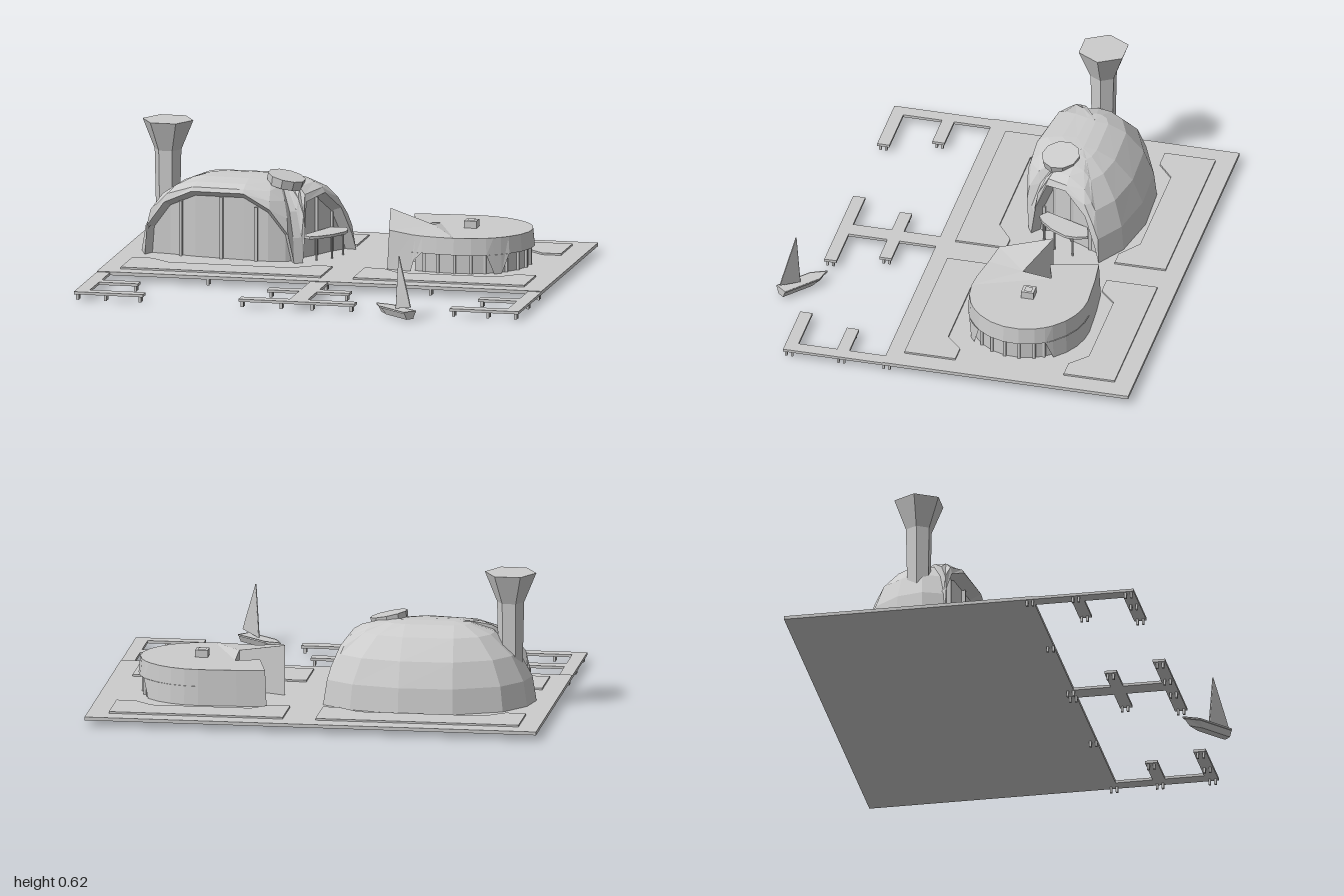
import * as THREE from 'three';

const mat = new THREE.MeshStandardMaterial({ color: 0xcccccc, flatShading: true });
const thin = new THREE.MeshStandardMaterial({ color: 0xcccccc, flatShading: true, side: THREE.DoubleSide });
const GROUND = 0.04;

function add(parent, name, geometry, material = mat) {
  const mesh = new THREE.Mesh(geometry, material);
  mesh.name = name;
  parent.add(mesh);
  return mesh;
}

function box(parent, name, x0, x1, y0, y1, z0, z1) {
  const mesh = add(parent, name, new THREE.BoxGeometry(x1 - x0, y1 - y0, z1 - z0));
  mesh.position.set((x0 + x1) / 2, (y0 + y1) / 2, (z0 + z1) / 2);
}

// Faceted surface through rows of [x, y, z] points
function loft(rows, closed = false) {
  const pos = [];
  for (let r = 0; r < rows.length - 1; r++) {
    const a = rows[r], b = rows[r + 1], n = a.length;
    for (let i = 0; i < (closed ? n : n - 1); i++) {
      const j = (i + 1) % n;
      pos.push(...a[i], ...a[j], ...b[j], ...a[i], ...b[j], ...b[i]);
    }
  }
  const g = new THREE.BufferGeometry();
  g.setAttribute('position', new THREE.Float32BufferAttribute(pos, 3));
  g.computeVertexNormals();
  return g;
}

const planShape = pts => new THREE.Shape(pts.map(([x, z]) => new THREE.Vector2(x, -z)));

// Horizontal slab from an [x, z] outline, with optional hole outlines
function slab(pts, y0, y1, holes = []) {
  const shape = planShape(pts);
  shape.holes.push(...holes.map(planShape));
  return new THREE.ExtrudeGeometry(shape, { depth: y1 - y0, bevelEnabled: false })
    .rotateX(-Math.PI / 2).translate(0, y0, 0);
}

function createSite() {
  const g = new THREE.Group();
  g.name = 'site';
  box(g, 'platform', -1, 1, 0.025, GROUND, -0.86, 0.25);
  // Lawns with a notched inner edge, mirrored about z = -0.30
  for (const [x0, a, b, c, d, x1] of [[-0.91, -0.82, -0.73, -0.18, -0.08, -0.01], [0.135, 0.22, 0.3, 0.74, 0.82, 0.905]]) {
    for (const s of [-1, 1]) {
      const z = v => -0.3 + s * v;
      const pts = [[x0, z(0.475)], [x1, z(0.475)], [x1, z(0.245)], [d, z(0.245)], [c, z(0.318)], [b, z(0.318)], [a, z(0.245)], [x0, z(0.245)]];
      add(g, 'lawn', slab(pts, GROUND, 0.048));
    }
  }
  // Docks with fingers, standing on short posts
  const dock = (x0, x1, z0, z1) => box(g, 'dock', x0, x1, 0.025, 0.037, z0, z1);
  dock(-0.04, 0.04, 0.25, 0.7);
  for (const s of [-1, 1]) {
    const d = (a, b, z0, z1) => dock(Math.min(s * a, s * b), Math.max(s * a, s * b), z0, z1);
    d(0.94, 1, 0.25, 0.7);
    d(0.765, 0.94, 0.415, 0.47);
    d(0.69, 0.94, 0.645, 0.7);
    d(0.04, 0.185, 0.415, 0.47);
    d(0.04, 0.26, 0.645, 0.7);
    const posts = [[0.985, 0.235], [0.03, 0.235], [0.5, 0.235], [0.985, 0.44], [0.78, 0.44], [0.17, 0.44], [0.985, 0.675], [0.86, 0.675], [0.705, 0.675], [0.245, 0.675], [0.07, 0.675]];
    for (const [x, z] of posts) {
      for (const dz of [-0.013, 0.013]) box(g, 'dockPost', s * x - 0.006, s * x + 0.006, 0, 0.026, z + dz - 0.005, z + dz + 0.005);
    }
  }
  return g;
}

function createDomeHall() {
  const g = new THREE.Group();
  g.name = 'domeHall';
  const frontArch = [[-0.88, GROUND, -0.165], [-0.87, 0.17, -0.16], [-0.79, 0.28, -0.15], [-0.66, 0.34, -0.12], [-0.42, 0.345, -0.09], [-0.3, 0.28, -0.08], [-0.22, 0.17, -0.095], [-0.195, GROUND, -0.11]];
  const sideArch = [[-0.16, GROUND, -0.13], [-0.155, 0.18, -0.15], [-0.16, 0.3, -0.2], [-0.1, 0.325, -0.3], [-0.05, 0.24, -0.4], [-0.015, 0.12, -0.45], [0, GROUND, -0.475]];
  const back = [[-0.13, -0.555], [-0.35, -0.6], [-0.59, -0.59], [-0.8, -0.5], [-0.89, -0.38], [-0.915, -0.26]].map(([x, z]) => [x, GROUND, z]);
  const rim = [...frontArch, ...sideArch, ...back];

  // Shell rises from the rim to a short ridge along elliptical ribs
  const rows = [0, 18, 38, 60, 78, 90].map(deg => {
    const c = Math.cos(deg * Math.PI / 180), s = Math.sin(deg * Math.PI / 180);
    return rim.map(([x, y, z]) => {
      const ax = Math.min(-0.34, Math.max(-0.56, x));
      return [ax + (x - ax) * c, y + (0.4 - y) * s, -0.32 + (z + 0.32) * c];
    });
  });
  add(g, 'shell', loft(rows, true), thin);

  // Deep arch reveals with recessed glazing
  const glaze = (arch, [cx, cz], kz, [dx, dz]) => {
    const inner = arch.map(([x, y, z]) => [cx + (x - cx) * 0.93 + dx, GROUND + (y - GROUND) * 0.91, cz + (z - cz) * kz + dz]);
    add(g, 'archReveal', loft([arch, inner]), thin);
    add(g, 'glazing', loft([inner, inner.map(([x, , z]) => [x, GROUND, z])]), thin);
    return inner;
  };
  glaze(frontArch, [-0.54, -0.12], 1, [0, -0.05]);
  for (const [x, top, z] of [[-0.72, 0.285, -0.178], [-0.53, 0.315, -0.15], [-0.37, 0.28, -0.132]])
    box(g, 'mullion', x - 0.007, x + 0.007, GROUND, top, z - 0.008, z + 0.012);
  const side = glaze(sideArch, [-0.08, -0.3], 0.93, [-0.045, -0.02]);
  for (const [x, y, z] of side.slice(1, 5)) box(g, 'sideMullion', x - 0.006, x + 0.008, GROUND, y, z - 0.007, z + 0.007);

  // Entrance canopy on thin posts
  const canopy = [[-0.03, -0.42], [-0.012, -0.37], [-0.012, -0.32], [-0.05, -0.25], [-0.1, -0.195], [-0.14, -0.17], [-0.18, -0.2], [-0.1, -0.4]];
  add(g, 'canopy', slab(canopy, 0.138, 0.15));
  for (const [x, z] of [[-0.03, -0.35], [-0.06, -0.26], [-0.115, -0.2]]) {
    const post = add(g, 'canopyPost', new THREE.CylinderGeometry(0.005, 0.005, 0.1, 6));
    post.position.set(x, 0.09, z);
  }

  // Tilted roof disc
  const disc = add(g, 'roofDisc', new THREE.CylinderGeometry(0.085, 0.08, 0.042, 10));
  disc.position.set(-0.262, 0.385, -0.24);
  disc.rotation.set(0.06, 0, -0.22);

  // Flared hexagonal tower
  const shaft = add(g, 'tower', new THREE.CylinderGeometry(0.06, 0.05, 0.45, 6).rotateY(Math.PI / 6));
  shaft.position.set(-0.805, 0.265, -0.295);
  const flare = add(g, 'towerFlare', new THREE.CylinderGeometry(0.114, 0.06, 0.132, 6).rotateY(Math.PI / 6));
  flare.position.set(-0.805, 0.556, -0.295);
  return g;
}

function createRoundPavilion() {
  const g = new THREE.Group();
  g.name = 'roundPavilion';
  const cx = 0.54, cz = -0.3, band = 0.125;
  // Outline points: x, z and the lower edge of the wall
  const outline = [[0.23, -0.08, GROUND], [0.34, -0.058, GROUND], [0.355, -0.055, 0.09], [0.39, -0.048, band], [0.46, -0.036, band]];
  for (const deg of [90, 75, 62, 55, 48, 40, 25, 10, -5, -20, -30, -38, -52, -65, -78, -90]) {
    const a = deg * Math.PI / 180;
    const solid = deg <= -38 || deg === 55 || deg === 48;
    outline.push([cx + 0.3 * Math.cos(a), cz + 0.27 * Math.sin(a), solid ? GROUND : band]);
  }
  outline.push([0.37, -0.56, GROUND], [0.24, -0.545, GROUND]);
  const curved = outline.length;
  outline.push([0.3, -0.33, GROUND], [0.405, -0.365, GROUND], [0.405, -0.235, GROUND], [0.19, -0.32, GROUND]);

  // Roof rises to a point at the front arm's tip
  const roofY = (x, z) => z < -0.325 ? 0.2 : 0.2 + 0.065 * Math.max(0, 1 - Math.hypot(x - 0.19, z + 0.32) / 0.31);
  const top = outline.map(([x, z], i) => {
    const k = i < curved ? 0.975 : 1;
    return [cx + (x - cx) * k, roofY(x, z), cz + (z - cz) * k];
  });
  add(g, 'wall', loft([outline.map(([x, z, y]) => [x, y, z]), top], true), thin);
  const roof = new THREE.ShapeGeometry(planShape(top.map(([x, , z]) => [x, z]))).rotateX(-Math.PI / 2);
  const p = roof.attributes.position;
  for (let i = 0; i < p.count; i++) {
    p.setY(i, top.find(t => Math.hypot(t[0] - p.getX(i), t[2] - p.getZ(i)) < 1e-4)[1]);
  }
  add(g, 'roof', roof, thin);

  // Recessed windows below the band, with soffit and mullions
  const arc = outline.slice(1, curved - 2);
  const inset = (y, k) => arc.map(([x, z]) => [cx + (x - cx) * k, y, cz + (z - cz) * k]);
  add(g, 'windows', loft([inset(GROUND, 0.92), inset(band, 0.92)]), thin);
  add(g, 'soffit', loft([inset(band, 0.92), inset(band, 1)]), thin);
  inset(0, 0.93).forEach(([x, , z], i) => {
    if (arc[i][2] === band) box(g, 'mullion', x - 0.006, x + 0.006, GROUND, band, z - 0.006, z + 0.006);
  });

  // Square roof vent with an open middle
  const square = r => [[0.56 - r, -0.3 - r], [0.56 + r, -0.3 - r], [0.56 + r, -0.3 + r], [0.56 - r, -0.3 + r]];
  add(g, 'roofVent', slab(square(0.028), 0.195, 0.232, [square(0.015)]));
  return g;
}

function createSailboat() {
  const g = new THREE.Group();
  g.name = 'sailboat';
  // Local frame: bow along +x, origin amidships
  const plan = [[0.13, 0], [0.06, 0.033], [-0.12, 0.033], [-0.12, -0.033], [0.06, -0.033]];
  const ring = (y, kx, kz) => plan.map(([x, z]) => [-0.12 + (x + 0.12) * kx, y, z * kz]);
  add(g, 'hull', loft([ring(0.008, 0.85, 0.55), ring(0.042, 1, 1)], true), thin);
  add(g, 'deck', slab(plan, 0.034, 0.04));
  add(g, 'hullBottom', slab(ring(0, 0.85, 0.55).map(([x, , z]) => [x, z]), 0.007, 0.01));
  const sail = new THREE.Shape([[-0.02, 0.04], [-0.125, 0.06], [-0.11, 0.1], [-0.04, 0.275]].map(([x, y]) => new THREE.Vector2(x, y)));
  add(g, 'sail', new THREE.ExtrudeGeometry(sail, { depth: 0.005, bevelEnabled: false }).translate(0, 0, -0.0025));
  const mast = add(g, 'mast', new THREE.CylinderGeometry(0.003, 0.004, 0.24, 6));
  mast.position.set(-0.029, 0.157, 0);
  mast.rotation.z = 0.085;
  g.position.set(0.45, 0, 0.747);
  g.rotation.y = Math.PI - 0.715;
  return g;
}

export function createModel() {
  const model = new THREE.Group();
  model.name = 'harbourPavilions';
  model.add(createSite(), createDomeHall(), createRoundPavilion(), createSailboat());
  return model;
}
